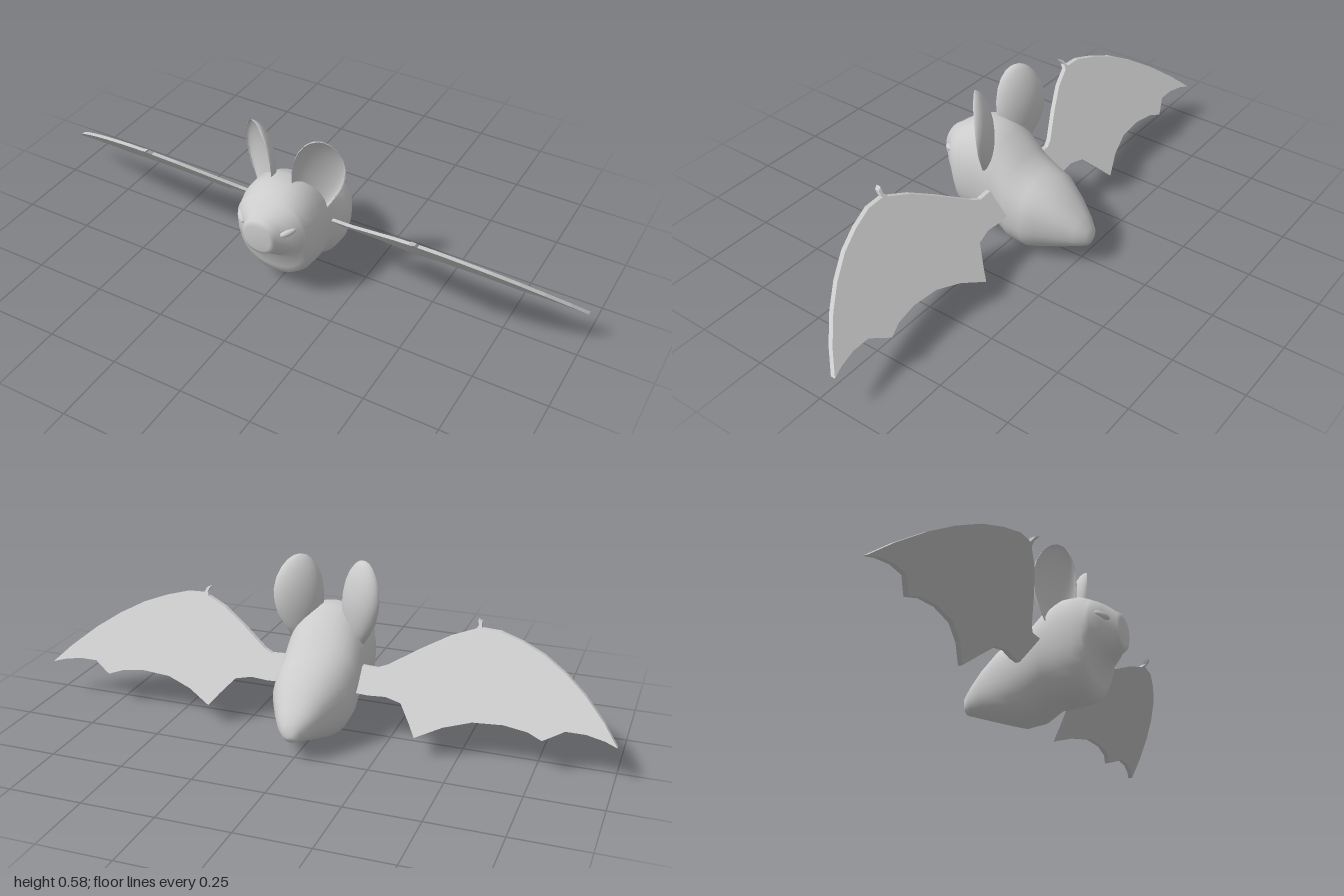
import * as THREE from 'three';

const material = new THREE.MeshStandardMaterial({ color: 0xcccccc, side: THREE.DoubleSide });

// Skin a list of closed rings (arrays of [x, y, z]) and close both ends.
function loft(rings) {
  const n = rings[0].length, last = rings.length - 1;
  const points = rings.flat();
  const index = [];
  for (let i = 0; i < last; i++) {
    for (let j = 0; j < n; j++) {
      const a = i * n + j, b = i * n + (j + 1) % n;
      index.push(a, b, b + n, a, b + n, a + n);
    }
  }
  for (const r of [0, last]) {
    const c = points.length;
    points.push([0, 1, 2].map(k => rings[r].reduce((s, p) => s + p[k], 0) / n));
    for (let j = 0; j < n; j++) {
      const a = r * n + j, b = r * n + (j + 1) % n;
      if (r === 0) index.push(c, b, a); else index.push(c, a, b);
    }
  }
  const g = new THREE.BufferGeometry();
  g.setAttribute('position', new THREE.Float32BufferAttribute(points.flat(), 3));
  g.setIndex(index);
  g.computeVertexNormals();
  return g;
}

// Head and body in one skin; rows are z, bottom, top, half width.
function bodyGeometry() {
  const rows = [
    [-0.287, 0.083, 0.100, 0.010], [-0.28, 0.070, 0.135, 0.032], [-0.25, 0.060, 0.165, 0.058],
    [-0.20, 0.042, 0.215, 0.088], [-0.13, 0.017, 0.270, 0.123], [-0.085, 0.002, 0.283, 0.136],
    [-0.02, 0.008, 0.320, 0.140], [0.04, 0.042, 0.385, 0.138], [0.10, 0.045, 0.410, 0.147],
    [0.155, 0.050, 0.410, 0.144], [0.185, 0.068, 0.397, 0.136], [0.197, 0.100, 0.390, 0.130],
    [0.21, 0.158, 0.383, 0.123], [0.24, 0.185, 0.365, 0.098], [0.262, 0.200, 0.347, 0.066],
    [0.28, 0.212, 0.335, 0.059], [0.286, 0.225, 0.320, 0.046],
  ];
  const soft = v => Math.sign(v) * Math.abs(v) ** 0.9;
  return loft(rows.map(([z, lo, hi, w]) => Array.from({ length: 32 }, (_, j) => {
    const t = j / 32 * Math.PI * 2;
    return [w * soft(Math.cos(t)), (lo + hi) / 2 + (hi - lo) / 2 * soft(Math.sin(t)), z];
  })));
}

// Cupped ear, hollow side turned forward and outward; rows are y, half width, x, z.
function earGeometry(side) {
  const rows = [
    [0.30, 0.040, 0.098, 0.085], [0.34, 0.062, 0.102, 0.087], [0.38, 0.078, 0.108, 0.088],
    [0.42, 0.086, 0.111, 0.090], [0.46, 0.086, 0.114, 0.092], [0.50, 0.078, 0.115, 0.096],
    [0.535, 0.062, 0.115, 0.101], [0.56, 0.042, 0.115, 0.105], [0.573, 0.023, 0.115, 0.107],
    [0.577, 0.005, 0.115, 0.107],
  ];
  const n = 28;
  return loft(rows.map(([y, w, x, z]) => {
    const ring = Array.from({ length: n }, (_, j) => {
      const t = j / n * Math.PI * 2, s = Math.sin(t);
      const u = w * Math.cos(t);
      const depth = -Math.abs(s) * w * (s > 0 ? 0.56 : 0.33);
      return [side * (x + 0.85 * u + 0.53 * depth), y, z - 0.53 * u + 0.85 * depth];
    });
    return side > 0 ? ring : ring.reverse();
  }));
}

// Thin membrane outlined from the front, then sheared onto a 45 degree plane.
function wingGeometry(side) {
  const outline = [
    [0.10, 0.235], [0.19, 0.232], [0.22, 0.242], [0.32, 0.295], [0.41, 0.338], [0.485, 0.362],
    // thumb claw
    [0.495, 0.375], [0.488, 0.390], [0.503, 0.384], [0.506, 0.368],
    [0.57, 0.366], [0.65, 0.347], [0.73, 0.320], [0.81, 0.280], [0.88, 0.235], [0.95, 0.178], [1.0, 0.127],
    // scalloped trailing edge
    [0.96, 0.138], [0.90, 0.147], [0.835, 0.147], [0.785, 0.124], [0.768, 0.117], [0.72, 0.132],
    [0.64, 0.140], [0.54, 0.135], [0.45, 0.112], [0.365, 0.077], [0.335, 0.112], [0.295, 0.155],
    [0.24, 0.165], [0.18, 0.162], [0.10, 0.165],
  ];
  const shape = new THREE.Shape(outline.map(([x, y]) => new THREE.Vector2(side * x, y)));
  const g = new THREE.ExtrudeGeometry(shape, { depth: 0.016, bevelEnabled: false });
  const p = g.attributes.position;
  for (let i = 0; i < p.count; i++) p.setZ(i, p.getZ(i) - 0.008 + p.getY(i) - 0.195);
  g.computeVertexNormals();
  return g;
}

export function createModel() {
  const model = new THREE.Group();
  const add = (name, geometry) => {
    const mesh = new THREE.Mesh(geometry, material);
    mesh.name = name;
    model.add(mesh);
    return mesh;
  };

  add('body', bodyGeometry());
  for (const [side, label] of [[1, 'left'], [-1, 'right']]) {
    add(label + 'Ear', earGeometry(side));
    add(label + 'Wing', wingGeometry(side));
    // Narrow slanted eye on the side of the face
    const eye = add(label + 'Eye', new THREE.SphereGeometry(1, 20, 12));
    eye.scale.set(0.029, 0.012, 0.012);
    eye.position.set(side * 0.087, 0.301, 0.241);
    eye.rotation.set(0, side * 0.85, side * 0.3);
  }
  return model;
}
